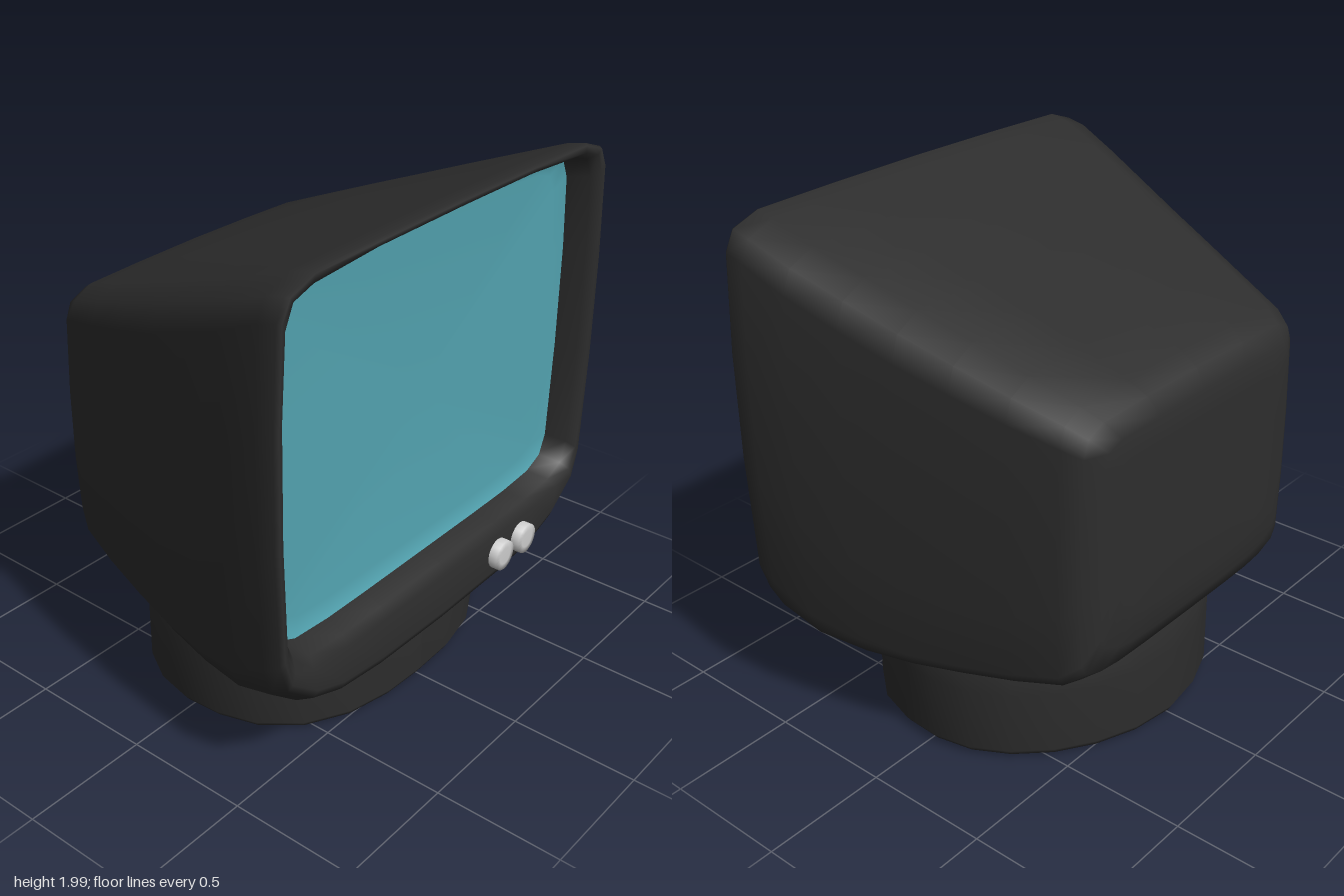
import * as THREE from 'three';

const shell = new THREE.MeshStandardMaterial({ color: 0x2d2d2d });
const glass = new THREE.MeshStandardMaterial({ color: 0x52a2af });
const grey = new THREE.MeshStandardMaterial({ color: 0xcccccc });

// Right half outlines from top centre to bottom centre: x 0..1, y 0..1
const bodyHalf = [[0, 1], [0.45, 0.998], [0.82, 0.994], [0.94, 0.97], [0.98, 0.925], [1, 0.7],
  [1, 0.45], [0.98, 0.185], [0.94, 0.115], [0.8, 0.052], [0.64, 0.02], [0.4, 0.005], [0, 0]];
const screenHalf = [[0, 1], [0.5, 0.998], [0.84, 0.985], [0.94, 0.965], [0.98, 0.91], [1, 0.7],
  [1, 0.4], [0.98, 0.1], [0.94, 0.04], [0.84, 0.012], [0.64, 0.002], [0.4, 0], [0, 0]];

// Mirrored outline placed at depth z, with half width w between bottom and top;
// a higher power flattens the underside
function ring(half, z, w, bottom, top, power = 1) {
  const left = half.slice(1, -1).reverse().map(([x, y]) => [-x, y]);
  return [...half, ...left].map(([x, y]) => [x * w, bottom + y ** power * (top - bottom), z]);
}

// Smooth skin over a series of rings with equal point counts
function loft(rings) {
  const n = rings[0].length, index = [];
  for (let i = 0; i < rings.length - 1; i++) {
    for (let j = 0; j < n; j++) {
      const a = i * n + j, b = i * n + (j + 1) % n;
      index.push(a, b, a + n, b, b + n, a + n);
    }
  }
  const geometry = new THREE.BufferGeometry();
  geometry.setAttribute('position', new THREE.Float32BufferAttribute(rings.flat(2), 3));
  geometry.setIndex(index);
  geometry.computeVertexNormals();
  return geometry;
}

export function createModel() {
  const group = new THREE.Group();
  const add = (name, geometry, material) => {
    const mesh = new THREE.Mesh(geometry, material);
    mesh.name = name;
    group.add(mesh);
    return mesh;
  };

  // Tapered housing: recessed screen opening, front lip, body, closed back
  const bodySections = [
    [0.66, 0.94, 0.36, 1.994], [0.645, 0.95, 0.325, 2], [0.57, 0.952, 0.275, 1.983],
    [0.4, 0.925, 0.286, 1.92, 1.2], [0.2, 0.877, 0.316, 1.847, 1.4], [0, 0.827, 0.348, 1.772, 1.55],
    [-0.2, 0.775, 0.382, 1.697, 1.6], [-0.4, 0.72, 0.416, 1.62, 1.6], [-0.58, 0.667, 0.45, 1.55, 1.5],
    [-0.65, 0.627, 0.5, 1.503, 1.4], [-0.685, 0.56, 0.58, 1.43, 1.2], [-0.69, 0.46, 0.7, 1.33],
    [-0.69, 0, 1, 1],
  ];
  add('housing', loft([
    ring(screenHalf, 0.525, 0.868, 0.582, 1.938),
    ring(screenHalf, 0.625, 0.895, 0.562, 1.957),
    ring(screenHalf, 0.657, 0.922, 0.53, 1.977),
    ...bodySections.map((s) => ring(bodyHalf, ...s)),
  ]), shell);

  // Slightly dished screen
  add('screen', loft([
    ring(screenHalf, 0.515, 0, 1.26, 1.26),
    ring(screenHalf, 0.515, 0.82, 0.64, 1.88),
    ring(screenHalf, 0.54, 0.87, 0.58, 1.94),
  ]), glass);

  // Pedestal: a lathe turned into an oval, squarer at the front than at the back
  const base = new THREE.LatheGeometry([[0, 0.01], [0.9, 0.01], [0.975, 0.02], [1, 0.045], [1, 0.3], [1, 0.47], [0.9, 0.53]]
    .map(([r, y]) => new THREE.Vector2(r, y)), 24);
  const p = base.attributes.position;
  for (let i = 0; i < p.count; i++) {
    const x = p.getX(i), z = p.getZ(i), r = Math.hypot(x, z);
    const e = z > 0 ? 2.6 : 1.86;
    const k = r && (Math.abs(x / r) ** e + Math.abs(z / r) ** e) ** (-1 / e);
    p.setX(i, x * k * 0.715);
    p.setZ(i, z * k * 0.585 - 0.025);
  }
  base.computeVertexNormals();
  add('pedestal', base, shell);

  // Two softly shaded control knobs under the screen
  const knobProfile = [[0.062, -0.03], [0.062, 0.032], [0.035, 0.034], [0, 0.034]].map(([r, y]) => new THREE.Vector2(r, y));
  for (const x of [0.35, 0.507]) {
    const knob = add('knob', new THREE.LatheGeometry(knobProfile, 20), grey);
    knob.rotation.x = Math.PI / 2;
    knob.position.set(x, 0.443, 0.661);
  }
  return group;
}
